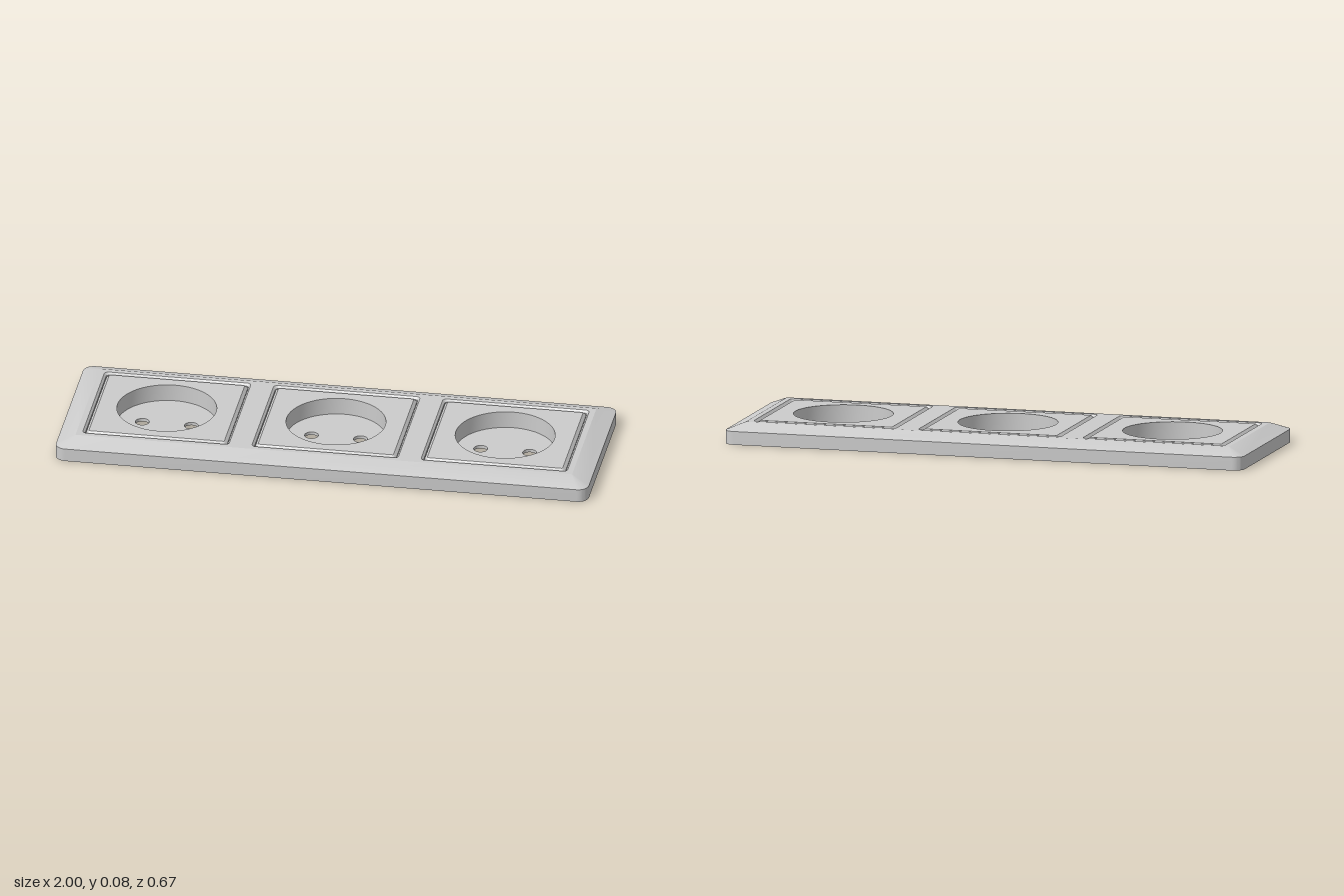
import * as THREE from 'three';
import { mergeGeometries, toCreasedNormals } from 'three/addons/utils/BufferGeometryUtils.js';

const material = new THREE.MeshStandardMaterial({ color: 0xcccccc });

// Closed plan outlines, counter-clockwise
function roundedRect(hx, hz, r, cx = 0) {
  const pts = [];
  const corners = [[1, 1], [-1, 1], [-1, -1], [1, -1]];
  corners.forEach(([sx, sz], k) => {
    for (let i = 0; i <= 8; i++) {
      const a = (k + i / 8) * Math.PI / 2;
      pts.push(new THREE.Vector2(cx + sx * (hx - r) + r * Math.cos(a), sz * (hz - r) + r * Math.sin(a)));
    }
  });
  return pts;
}

function circle(r, cx = 0, n = 64) {
  return Array.from({ length: n }, (_, i) => {
    const a = (i / n) * Math.PI * 2;
    return new THREE.Vector2(cx + r * Math.cos(a), r * Math.sin(a));
  });
}

// Wall through [outline, height] rings: faces outward when rising, inward when descending
function wall(...rings) {
  const pos = [];
  const n = rings[0][0].length;
  const put = ([pts, y], i) => pos.push(pts[i % n].x, y, -pts[i % n].y);
  for (let k = 0; k < rings.length - 1; k++) {
    const a = rings[k], b = rings[k + 1];
    for (let i = 0; i < n; i++) {
      put(a, i); put(a, i + 1); put(b, i + 1);
      put(a, i); put(b, i + 1); put(b, i);
    }
  }
  const g = new THREE.BufferGeometry();
  g.setAttribute('position', new THREE.Float32BufferAttribute(pos, 3));
  g.computeVertexNormals();
  return g;
}

// Flat horizontal face with holes, facing up or down
function face(y, outline, holes, up) {
  const shape = new THREE.Shape(outline);
  holes.forEach(h => shape.holes.push(new THREE.Path(h)));
  const g = new THREE.ShapeGeometry(shape).toNonIndexed();
  g.deleteAttribute('uv');
  return g.rotateX(up ? -Math.PI / 2 : Math.PI / 2).translate(0, y, 0);
}

function part(name, pieces) {
  const mesh = new THREE.Mesh(toCreasedNormals(mergeGeometries(pieces), 0.3), material);
  mesh.name = name;
  return mesh;
}

const TOP = 0.077;
const CENTRES = [-0.635, 0, 0.635];

// Surrounding frame with sloped rim and three openings with chamfered lips
function createFrame() {
  const base = roundedRect(1, 0.335, 0.04);
  const rim = roundedRect(0.932, 0.267, 0.002);
  const lips = CENTRES.map(x => roundedRect(0.275, 0.247, 0.016, x));
  const openings = CENTRES.map(x => roundedRect(0.267, 0.239, 0.01, x));
  return part('frame', [
    wall([base, 0], [base, 0.05], [rim, TOP]),
    face(TOP, rim, lips, true),
    face(0, base, openings, false),
    ...CENTRES.map((_, i) => wall([lips[i], TOP], [openings[i], TOP - 0.009], [openings[i], 0])),
  ]);
}

// Socket insert: bevelled block, round recess and two pin holes
function createSocket() {
  const floor = 0.012;
  const side = roundedRect(0.265, 0.237, 0.01);
  const top = roundedRect(0.254, 0.226, 0.004);
  const recess = circle(0.185);
  const pins = [-0.092, 0.092].map(x => circle(0.026, x, 28));
  return part('socket', [
    wall([side, 0], [side, TOP - 0.011], [top, TOP]),
    face(TOP, top, [recess], true),
    wall([recess, TOP], [recess, floor]),
    face(floor, recess, pins, true),
    ...pins.map(p => wall([p, floor], [p, 0])),
    face(0, side, pins, false),
  ]);
}

export function createModel() {
  const model = new THREE.Group();
  model.name = 'tripleSocketPlate';
  model.add(createFrame());
  const names = ['rightSocket', 'middleSocket', 'leftSocket'];
  const socket = createSocket();
  CENTRES.forEach((x, i) => {
    const copy = socket.clone();
    copy.name = names[i];
    copy.position.x = x;
    model.add(copy);
  });
  return model;
}
